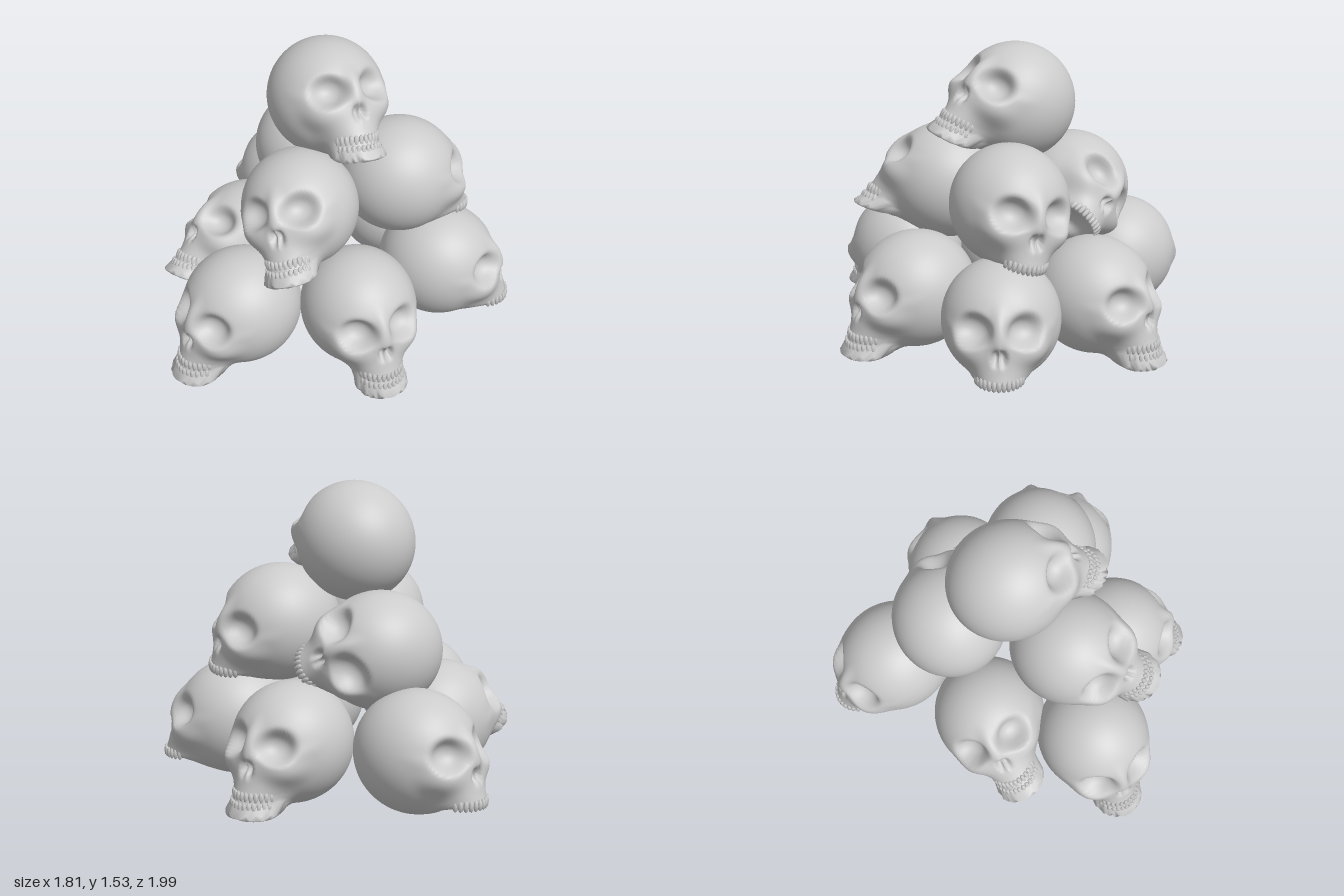
import * as THREE from 'three';
import { mergeVertices, mergeGeometries } from 'three/addons/utils/BufferGeometryUtils.js';

const material = new THREE.MeshStandardMaterial({ color: 0xcccccc });
const rad = THREE.MathUtils.degToRad;

// Distance helpers: ellipsoid, smooth union and smooth cut
const ellipsoid = (x, y, z, cx, cy, cz, rx, ry, rz) =>
  (Math.hypot((x - cx) / rx, (y - cy) / ry, (z - cz) / rz) - 1) * Math.min(rx, ry, rz);
const join = (a, b, k) => {
  const h = Math.max(k - Math.abs(a - b), 0) / k;
  return Math.min(a, b) - h * h * k * 0.25;
};
const cut = (a, b, k) => -join(-a, b, k);

// Upright arch of the mouth: an elliptic column, wider at the cheeks, leaning forward to the chin
function mouthColumn(x, y, z, bottom) {
  const zc = 0.25 - 0.35 * (y + 0.2);
  const width = 0.12 + 0.25 * Math.max(y + 0.17, 0);
  const side = (Math.hypot(x / width, (z - zc) / 0.13) - 1) * 0.12;
  const top = 0;
  const cap = Math.abs(y - (top + bottom) / 2) - (top - bottom) / 2;
  return -join(-side, -cap, 0.03);
}

// Skull shape around the cranium centre, facing +z; x is mirrored
function skullDistance(px, y, z, hasJaw) {
  const x = Math.abs(px);
  let d = ellipsoid(x, y, z, 0, 0.005, -0.005, 0.293, 0.3, 0.31);
  d = join(d, mouthColumn(x, y, z, hasJaw ? -0.275 : -0.2), 0.09);
  // cheekbone and nasal bridge
  d = join(d, ellipsoid(x, y, z, 0.135, -0.045, 0.215, 0.06, 0.045, 0.068), 0.07);
  d = join(d, ellipsoid(x, y, z, 0, 0.03, 0.285, 0.03, 0.08, 0.045), 0.05);
  if (hasJaw) {
    // chin rim and the hollow under the jaw
    d = join(d, ellipsoid(x, y, z, 0, -0.265, 0.31, 0.133, 0.024, 0.108), 0.03);
    d = cut(d, ellipsoid(x, y, z, 0, -0.305, 0.25, 0.105, 0.07, 0.135), 0.025);
  } else {
    // palate
    d = cut(d, ellipsoid(x, y, z, 0, -0.22, 0.25, 0.085, 0.04, 0.09), 0.03);
  }
  // eye socket and nose opening
  d = cut(d, ellipsoid(x, y, z, 0.138, 0.067, 0.285, 0.095, 0.075, 0.09), 0.03);
  d = cut(d, ellipsoid(x, y, z, 0.016, -0.045, 0.35, 0.02, 0.035, 0.045), 0.02);
  return d;
}

// Shrink a sphere onto the skull shape along its radii
function boneGeometry(hasJaw) {
  let geo = new THREE.SphereGeometry(1, 92, 72).rotateX(Math.PI / 2);
  geo.deleteAttribute('uv');
  geo.deleteAttribute('normal');
  geo = mergeVertices(geo, 1e-4);
  const pos = geo.attributes.position;
  const v = new THREE.Vector3();
  for (let i = 0; i < pos.count; i++) {
    v.fromBufferAttribute(pos, i).normalize();
    let r = 0.65;
    for (let n = 0; n < 150; n++) {
      const d = skullDistance(v.x * r, v.y * r, v.z * r, hasJaw);
      if (d < 0.0002 || r < 0.08) break;
      r -= d * 0.5;
    }
    pos.setXYZ(i, v.x * r, v.y * r, v.z * r);
  }
  geo.computeVertexNormals();
  return geo;
}

// One row of teeth along the front of the mouth
function teethGeometry(y, zc, count) {
  const teeth = [];
  for (let i = 0; i < count; i++) {
    const a = rad(-70 + (140 * i) / (count - 1));
    teeth.push(new THREE.SphereGeometry(1, 6, 4)
      .scale(0.0135, 0.029, 0.012)
      .rotateY(a)
      .translate(0.116 * Math.sin(a), y, zc + 0.126 * Math.cos(a)));
  }
  return mergeGeometries(teeth);
}

// position of the cranium centre, then yaw, pitch up and roll in degrees
const skulls = [
  { name: 'frontSkull', at: [-0.15, 0.31, 0.59], turn: [-20, 0, 0], jaw: true },
  { name: 'frontRightSkull', at: [-0.43, 0.31, 0.1], turn: [-38, 28, 22], jaw: true },
  { name: 'frontLeftSkull', at: [0.365, 0.31, 0.285], turn: [54, 0, 0], jaw: true },
  { name: 'backLeftSkull', at: [0.54, 0.31, -0.26], turn: [111, 0, 0], jaw: false },
  { name: 'backSkull', at: [0.085, 0.31, -0.58], turn: [164, 0, 0], jaw: true },
  { name: 'backRightSkull', at: [-0.535, 0.31, -0.51], turn: [-106, 0, 0], jaw: false },
  { name: 'middleFrontSkull', at: [0.01, 0.79, 0.27], turn: [10, 17, 20], jaw: true },
  { name: 'middleLeftSkull', at: [0.315, 0.815, -0.21], turn: [137, -5, -12], jaw: false },
  { name: 'middleRightSkull', at: [-0.265, 0.74, -0.315], turn: [150, 5, -60], jaw: false },
  { name: 'topSkull', at: [-0.05, 1.235, -0.085], turn: [62, 24, -8], jaw: true },
];

export function createModel() {
  const model = new THREE.Group();
  model.name = 'skullPile';
  const jawBone = boneGeometry(true);
  const bareBone = boneGeometry(false);
  const upperTeeth = teethGeometry(-0.18, 0.245, 13);
  const lowerTeeth = teethGeometry(-0.227, 0.261, 13);

  for (const { name, at, turn, jaw } of skulls) {
    const skull = new THREE.Group();
    skull.name = name;
    const add = (part, geometry) => {
      const mesh = new THREE.Mesh(geometry, material);
      mesh.name = part;
      skull.add(mesh);
    };
    add('bone', jaw ? jawBone : bareBone);
    add('upperTeeth', upperTeeth);
    if (jaw) add('lowerTeeth', lowerTeeth);
    skull.position.set(...at);
    skull.rotation.set(rad(-turn[1]), rad(turn[0]), rad(turn[2]), 'YXZ');
    model.add(skull);
  }
  return model;
}
